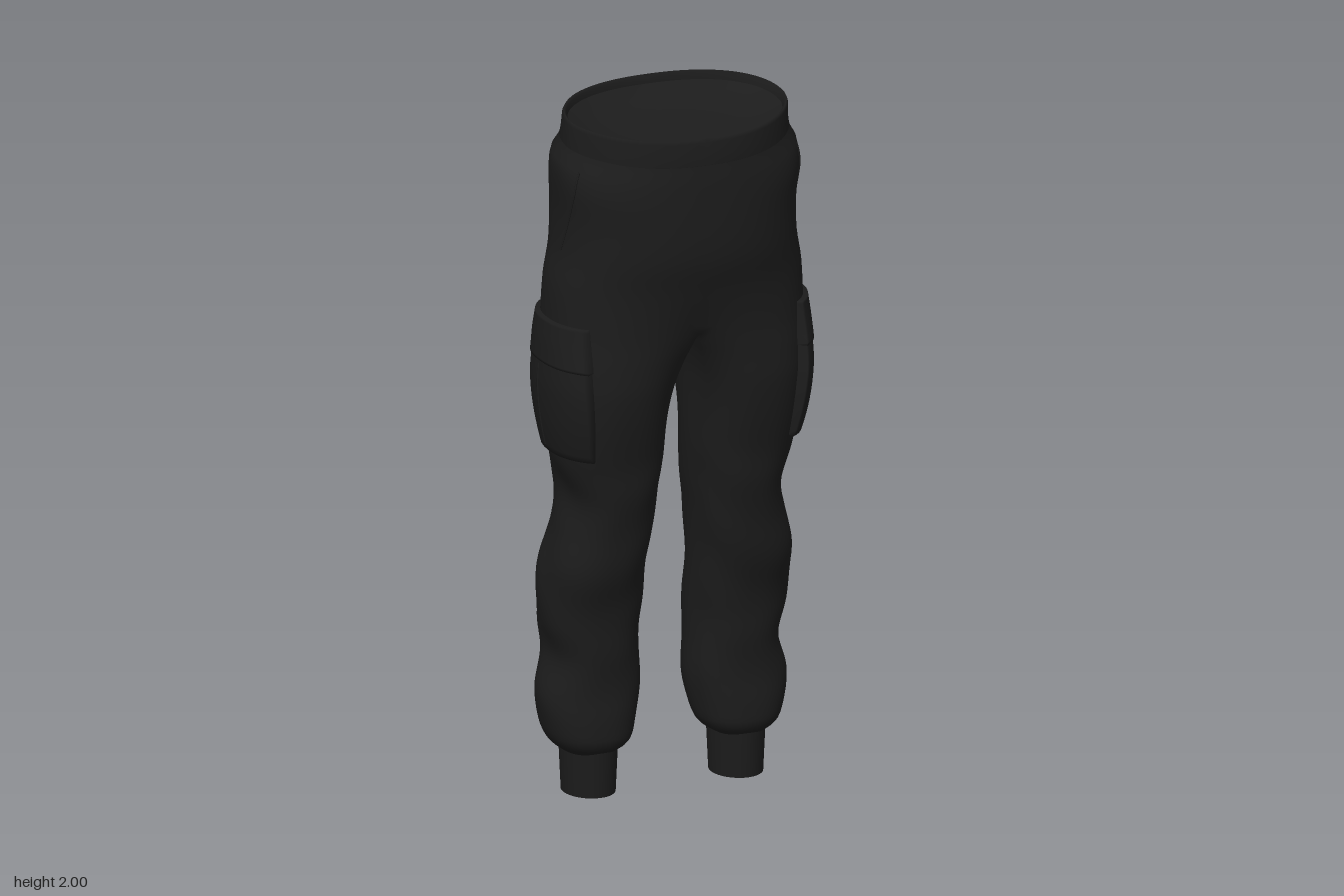
import * as THREE from 'three';
import { mergeGeometries, mergeVertices } from 'three/addons/utils/BufferGeometryUtils.js';

const CROTCH = 1.36;
const { lerp, smoothstep } = THREE.MathUtils;

// height, outer x, inner x, front z, back z
const PROFILE = [
  [2.0, .322, 0, .242, -.18], [1.92, .328, 0, .247, -.2], [1.87, .351, 0, .252, -.222],
  [1.7, .343, 0, .256, -.256], [1.6, .347, 0, .25, -.25], [1.5, .365, 0, .23, -.238],
  [1.36, .37, 0, .217, -.23], [1.28, .366, .023, .212, -.218], [1.2, .363, .037, .203, -.211],
  [1.0, .345, .045, .157, -.178], [.88, .315, .055, .137, -.2], [.78, .328, .068, .12, -.194],
  [.65, .36, .077, .095, -.202], [.5, .355, .08, .057, -.215], [.4, .337, .08, .05, -.221],
  [.29, .361, .077, .042, -.215], [.2, .35, .093, .046, -.204], [.15, .328, .112, .042, -.185],
  [.125, .297, .145, .016, -.162],
];

function profileAt(y) {
  let i = 0;
  while (i < PROFILE.length - 2 && y < PROFILE[i + 1][0]) i++;
  const a = PROFILE[i], b = PROFILE[i + 1];
  const k = Math.min(1, Math.max(0, (a[0] - y) / (a[0] - b[0])));
  const p = PROFILE[Math.max(0, i - 1)], q = PROFILE[Math.min(PROFILE.length - 1, i + 2)];
  // Hermite interpolation with height-aware slopes
  return [1, 2, 3, 4].map((c) => {
    const h = b[0] - a[0];
    const m0 = (b[c] - p[c]) / (b[0] - p[0]) * h, m1 = (q[c] - a[c]) / (q[0] - a[0]) * h;
    const k2 = k * k, k3 = k2 * k;
    return (2 * k3 - 3 * k2 + 1) * a[c] + (k3 - 2 * k2 + k) * m0 + (3 * k2 - 2 * k3) * b[c] + (k3 - k2) * m1;
  });
}

const spow = (v, p) => Math.sign(v) * Math.abs(v) ** p;

// Outer cloth of the left half: u runs from front centre around the hip to back centre
function cloth(u, y, off = 0) {
  const [out, rawIn, front, back] = profileAt(y);
  const inn = y >= CROTCH ? 0 : Math.max(0, rawIn);
  const cz = (front + back) / 2, rz = (front - back) / 2;
  const cx = (out + inn) / 2, rx = (out - inn) / 2;
  const leg = 1 - smoothstep(y, 1.05, 1.55);
  const t = u * Math.PI, a = (-60 + 300 * u) * Math.PI / 180;
  // the waist comes to a blunt point at the front
  const round = u < .5 ? lerp(.88, 1.25, smoothstep(y, 1.8, 1.96)) : .88;
  let x = lerp(inn + (out - inn) * spow(Math.sin(t), .88), cx + rx * spow(Math.sin(a), .86), leg);
  let z = lerp(cz + rz * spow(Math.cos(t), round), cz + rz * spow(Math.cos(a), .86), leg);
  // faint slanting folds on the lower legs
  const fold = .0025 * Math.sin(y * 23 + 30 * z + 9 * x) * smoothstep(y, .16, .3) * (1 - smoothstep(y, .9, 1.05));
  const dx = x - cx * leg, dz = z - cz, d = Math.hypot(dx, dz) || 1;
  x += dx / d * (off + fold);
  z += dz / d * (off + fold);
  if (y >= CROTCH && (u === 0 || u === 1)) x = 0;
  return new THREE.Vector3(x, y - .14 * (z + .18) * smoothstep(y, 1.4, 2), z);
}

// Inner thigh, closing the leg from back to front
function inseam(v, y) {
  const b = cloth(1, y), f = cloth(0, y);
  const inn = y >= CROTCH ? 0 : Math.max(0, profileAt(y)[1]);
  const x = lerp(b.x, f.x, v);
  return new THREE.Vector3(x + (inn - x) * Math.sin(Math.PI * v), y, lerp(b.z, f.z, v));
}

// Grid surface from a rule: rows go downward, columns go front to back
function grid(rows, cols, rule) {
  const pos = [], idx = [];
  for (let i = 0; i <= rows; i++) {
    for (let j = 0; j <= cols; j++) pos.push(...rule(i, j).toArray());
  }
  for (let i = 0; i < rows; i++) {
    for (let j = 0; j < cols; j++) {
      const a = i * (cols + 1) + j, b = a + cols + 1;
      idx.push(a, b, a + 1, a + 1, b, b + 1);
    }
  }
  const g = new THREE.BufferGeometry();
  g.setAttribute('position', new THREE.Float32BufferAttribute(pos, 3));
  g.setIndex(idx);
  return g;
}

function mirrored(g) {
  const m = g.clone();
  const p = m.attributes.position, ix = m.index.array;
  for (let i = 0; i < p.count; i++) p.setX(i, -p.getX(i));
  for (let i = 0; i < ix.length; i += 3) [ix[i + 1], ix[i + 2]] = [ix[i + 2], ix[i + 1]];
  return m;
}

function smoothWhole(halves) {
  const g = mergeVertices(mergeGeometries([...halves, ...halves.map(mirrored)]), 1e-4);
  g.computeVertexNormals();
  return g;
}

// Raised patch lying on the cloth, with its border tucked in
function patch(u0, u1, yTop, yBottom, rise) {
  const R = 20, C = 26;
  const g = grid(R, C, (i, j) => {
    const v = Math.min(1, Math.max(0, (i - 1) / (R - 2)));
    const s = Math.min(1, Math.max(0, (j - 1) / (C - 2)));
    const edge = i === 0 || j === 0 || i === R || j === C;
    return cloth(lerp(u0, u1, s), lerp(yTop, yBottom, v), edge ? -.01 : rise(v));
  });
  g.computeVertexNormals();
  return g;
}

// Stitched ridge following the cloth between two (u, y) points
function ridge([u0, y0], [u1, y1], rise) {
  const points = Array.from({ length: 9 }, (_, i) => cloth(lerp(u0, u1, i / 8), lerp(y0, y1, i / 8), rise(i / 8)));
  return new THREE.TubeGeometry(new THREE.CatmullRomCurve3(points), 24, .003, 6);
}

export function createModel() {
  const model = new THREE.Group();
  model.name = 'cargoTrousers';
  const fabric = new THREE.MeshStandardMaterial({ color: 0x1c1c1c, side: THREE.DoubleSide });
  fabric.name = 'black fabric';
  const add = (name, geometry) => {
    const mesh = new THREE.Mesh(geometry, fabric);
    mesh.name = name;
    model.add(mesh);
    return mesh;
  };

  // Hips and legs as one smooth cloth
  const COLS = 44;
  add('hipsAndLegs', smoothWhole([
    grid(24, COLS, (i, j) => cloth(j / COLS, lerp(1.93, CROTCH, i / 24))),
    grid(80, COLS, (i, j) => cloth(j / COLS, lerp(CROTCH, .125, i / 80))),
    grid(80, 12, (i, j) => inseam(j / 12, lerp(CROTCH, .125, i / 80))),
  ]));

  // Waistband folded over the top edge
  const band = [[1.975, -.015], [1.992, -.01], [2, -.003], [1.99, .001], [1.95, .001], [1.925, .001], [1.92, -.002]];
  add('waistband', smoothWhole([grid(band.length - 1, COLS, (i, j) => cloth(j / COLS, ...band[i]))]));

  // Shallow dished lining closing the waist just below the rim
  const centre = new THREE.Vector3(0, 1.946, .03);
  add('waistLining', smoothWhole([
    grid(10, COLS, (i, j) => {
      const r = i / 10;
      const p = centre.clone().lerp(cloth(j / COLS, 1.975, -.015), r);
      p.y -= .04 * (1 - r ** 4);
      return p;
    }),
  ]));

  // Parts shared by both sides
  const pocketRise = (v) => .012 + .018 * Math.sin(Math.PI * (.15 + .75 * v));
  const sideParts = {
    CargoPocket: patch(.315, .675, 1.32, 1.015, pocketRise),
    PocketFlap: patch(.31, .68, 1.4, 1.28, (v) => .014 + .015 * v),
    PocketPleat: ridge([.51, 1.27], [.51, 1.03], (k) => pocketRise(lerp(.16, .95, k))),
    HipPocketSeam: ridge([.37, 1.88], [.475, 1.61], () => .001),
  };
  for (const [name, g] of Object.entries(sideParts)) {
    add('left' + name, g);
    const m = mirrored(g);
    m.computeVertexNormals();
    add('right' + name, m);
  }

  // Ankle cuffs, closed by a panel just inside the bottom edge
  for (const [side, s] of [['left', 1], ['right', -1]]) {
    const cuff = add(side + 'Cuff', new THREE.CylinderGeometry(.079, .073, .135, 32, 2, true));
    cuff.position.set(s * .22, .0675, -.072);
    const panel = add(side + 'CuffPanel', new THREE.CircleGeometry(.074, 32).rotateX(Math.PI / 2));
    panel.position.set(s * .22, .025, -.072);
    cuff.scale.z = panel.scale.z = 1.2;
  }
  return model;
}
